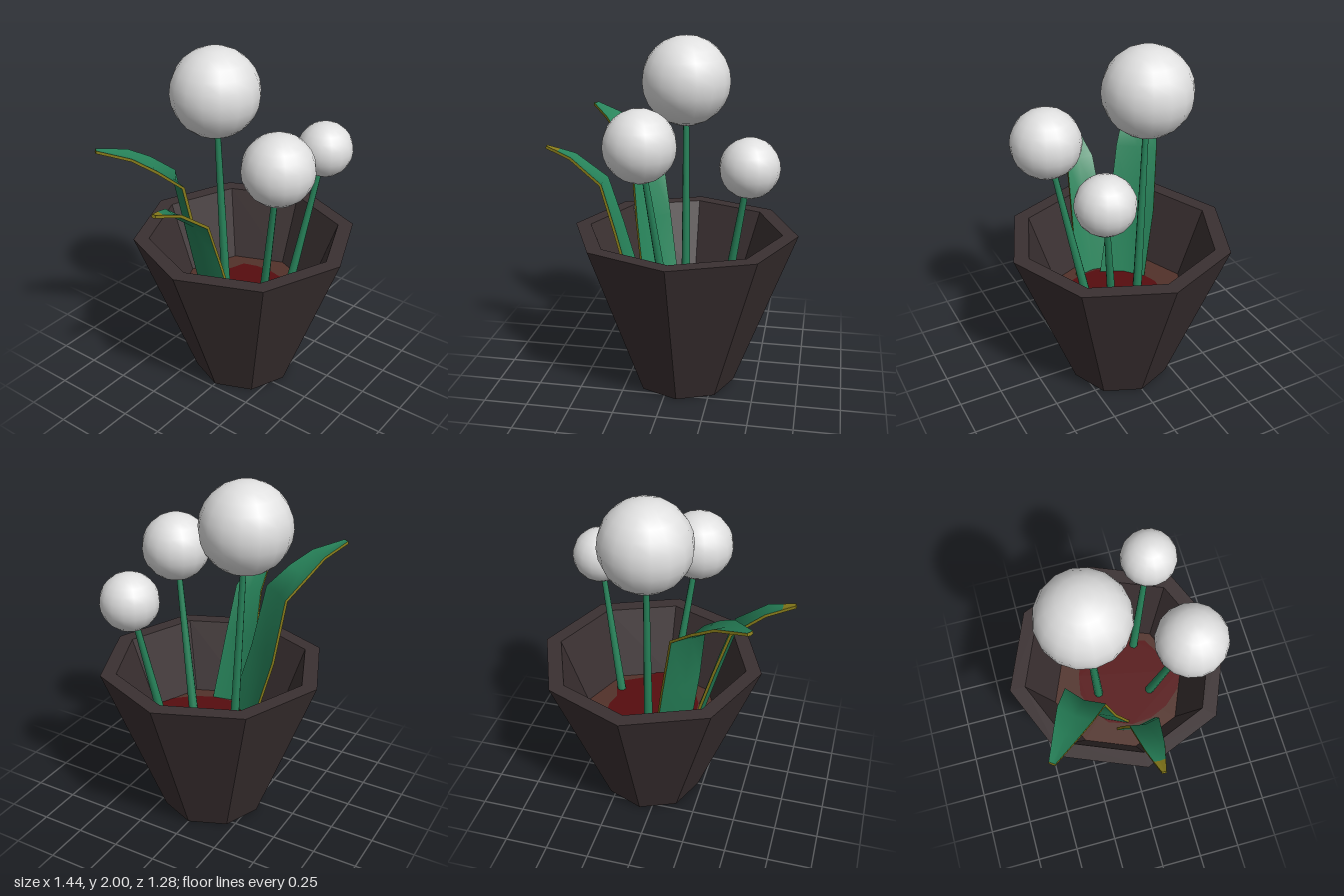
import * as THREE from 'three';

const mat = (name, color) => {
  const m = new THREE.MeshStandardMaterial({ color });
  m.name = name;
  return m;
};

export function createModel() {
  const model = new THREE.Group();
  model.name = 'pottedFlowers';
  const potBrown = mat('potBrown', 0x3a3031);
  const soilBrown = mat('soilBrown', 0x52322a);
  const soilRed = mat('soilRed', 0x560d0f);
  const green = mat('leafGreen', 0x27835a);
  const yellow = mat('edgeYellow', 0x85791a);
  const white = mat('blossomWhite', 0xe0e0e0);

  const add = (parent, name, geometry, material) => {
    const mesh = new THREE.Mesh(geometry, material);
    mesh.name = name;
    parent.add(mesh);
    return mesh;
  };
  const POT_X = 0.073, SOIL_Y = 0.52;

  // Octagonal pot with a thick rim and sloping inner wall
  const profile = [[0, 0], [0.295, 0], [0.642, 0.927], [0.553, 0.927], [0.4, SOIL_Y - 0.005]]
    .map(([x, y]) => new THREE.Vector2(x, y));
  const potGeo = new THREE.LatheGeometry(profile, 8).toNonIndexed();
  potGeo.computeVertexNormals();
  add(model, 'pot', potGeo, potBrown).position.x = POT_X;

  // Soil with a wavy dark red patch
  const soil = add(model, 'soil', new THREE.CircleGeometry(0.405, 8).rotateX(-Math.PI / 2), soilBrown);
  soil.position.set(POT_X, SOIL_Y, 0);
  const patch = new THREE.Shape([
    [0.34, 0], [0.32, 0.08], [0.345, 0.16], [0.32, 0.24], [0.25, 0.28], [0.2, 0.31], [0.15, 0.37],
    [0.07, 0.4], [-0.04, 0.35], [-0.13, 0.25], [-0.18, 0.14], [-0.19, 0.02], [-0.14, -0.12],
    [-0.04, -0.2], [0.08, -0.24], [0.2, -0.22], [0.31, -0.18], [0.335, -0.1],
  ].map(([x, z]) => new THREE.Vector2(x, -z)));
  add(model, 'soilPatch', new THREE.ShapeGeometry(patch).rotateX(-Math.PI / 2), soilRed)
    .position.y = SOIL_Y + 0.005;

  // Flowers: a tapered leaning stem with a round head
  const flower = (name, base, head, radius) => {
    const group = new THREE.Group();
    group.name = name;
    model.add(group);
    const a = new THREE.Vector3(...base), b = new THREE.Vector3(...head);
    const dir = b.clone().sub(a);
    const stem = add(group, 'stem', new THREE.CylinderGeometry(0.015, 0.027, dir.length(), 8), green);
    stem.position.copy(a).addScaledVector(dir, 0.5);
    stem.quaternion.setFromUnitVectors(new THREE.Vector3(0, 1, 0), dir.normalize());
    add(group, 'blossom', new THREE.SphereGeometry(radius, 16, 12), white).position.copy(b);
  };
  flower('tallFlower', [0.058, SOIL_Y, -0.13], [0.045, 1.748, -0.183], 0.253);
  flower('frontFlower', [0, SOIL_Y, 0.18], [-0.112, 1.495, 0.348], 0.197);
  flower('sideFlower', [0.315, SOIL_Y, 0.165], [0.457, 1.388, 0.28], 0.16);

  // Leaves: channelled blades lofted through [x, y, z, halfWidth] with a yellow rim
  const leaf = (name, out, stations, yellowTip) => {
    const group = new THREE.Group();
    group.name = name;
    model.add(group);
    const o = new THREE.Vector3(out[0], 0, out[1]).normalize();
    const side = new THREE.Vector3(0, 1, 0).cross(o);
    const centres = stations.map(([x, y, z]) => new THREE.Vector3(x, y, z));
    const positions = [], blade = [], rim = [];
    const last = stations.length - 1;
    centres.forEach((c, i) => {
      const tangent = centres[Math.min(i + 1, last)].clone()
        .sub(centres[Math.max(i - 1, 0)]).normalize();
      const normal = side.clone().cross(tangent);
      const w = stations[i][3];
      // Inner edge-middle-edge, then outer edge-middle-edge
      [[-w, 0], [0, 0.2 * w], [w, 0], [w, 0.016], [0, 0.2 * w + 0.016], [-w, 0.016]].forEach(([s, n]) => {
        const p = c.clone().addScaledVector(side, s).addScaledVector(normal, n);
        positions.push(p.x, p.y, p.z);
      });
      if (i === last) return;
      for (let k = 0; k < 6; k++) {
        const a = i * 6 + k, a2 = i * 6 + (k + 1) % 6, b = a + 6, b2 = a2 + 6;
        const isRim = k % 3 === 2 || (yellowTip && i === last - 1);
        (isRim ? rim : blade).push(a, b, b2, a, b2, a2);
      }
    });
    for (let k = 1; k < 5; k++) rim.push(last * 6, last * 6 + k + 1, last * 6 + k);
    const build = (index) => {
      const g = new THREE.BufferGeometry();
      g.setAttribute('position', new THREE.Float32BufferAttribute(positions, 3));
      g.setIndex(index);
      g.computeVertexNormals();
      return g;
    };
    add(group, 'blade', build(blade), green);
    const rimGeo = build(rim).toNonIndexed();
    rimGeo.computeVertexNormals();
    add(group, 'rim', rimGeo, yellow);
  };
  leaf('backLeaf', [-0.8, -0.6], [
    [-0.08, SOIL_Y, -0.1, 0.135], [-0.145, 0.925, -0.195, 0.132], [-0.195, 1.3, -0.25, 0.117],
    [-0.31, 1.41, -0.33, 0.1], [-0.42, 1.49, -0.4, 0.068], [-0.565, 1.54, -0.505, 0.018],
  ], false);
  leaf('sideLeaf', [-1, 0], [
    [-0.185, SOIL_Y, 0.035, 0.115], [-0.3, 0.925, 0.025, 0.098], [-0.385, 1.2, 0.022, 0.082],
    [-0.565, 1.34, 0.022, 0.055], [-0.65, 1.37, 0.024, 0.032], [-0.718, 1.392, 0.027, 0.012],
  ], true);

  return model;
}
